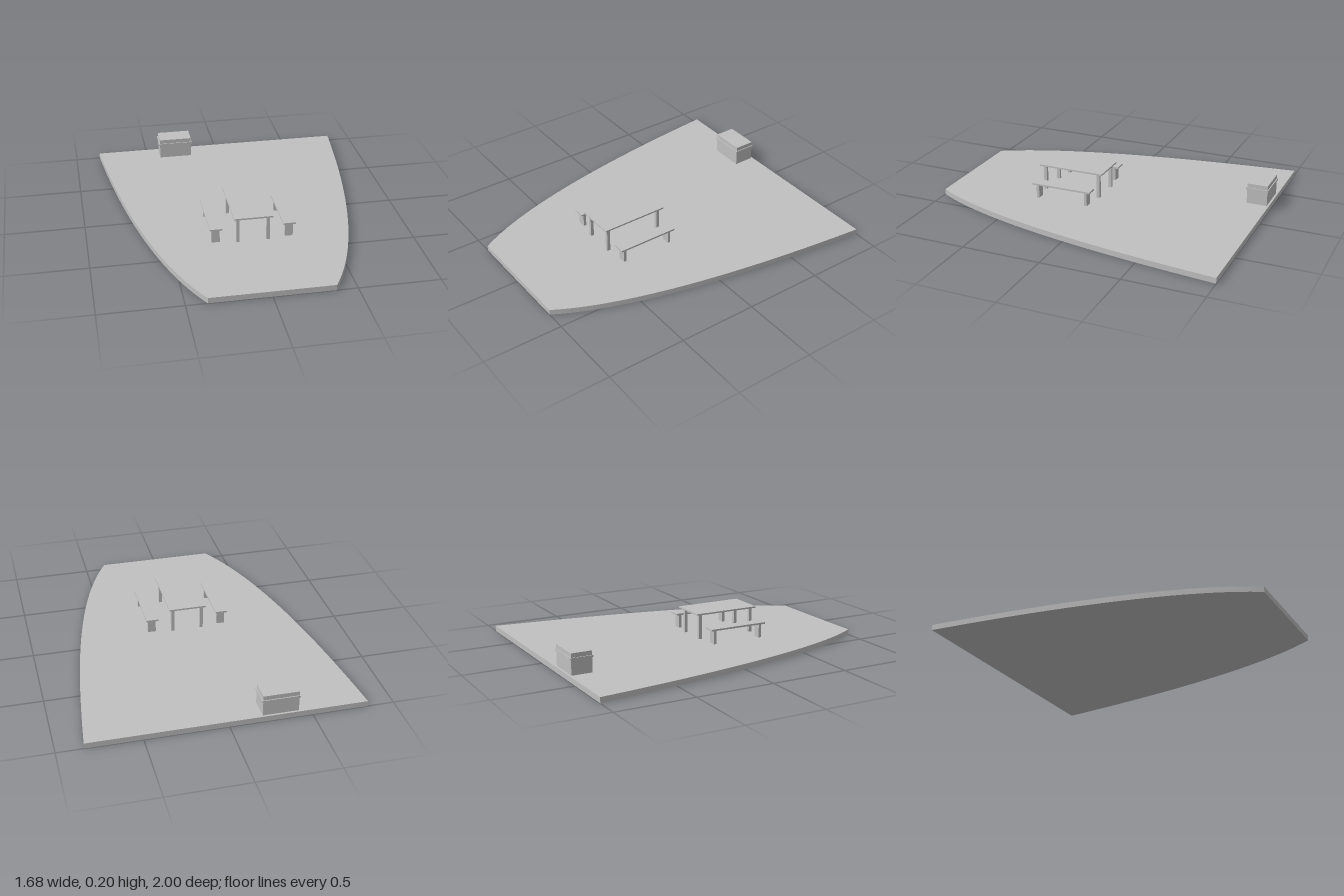
import * as THREE from 'three';

export function createModel() {
  const model = new THREE.Group();
  const grey = new THREE.MeshStandardMaterial({ color: 0xc0c0c0 });
  grey.name = 'plain grey';

  // Box given by its lower and upper corners
  const box = (parent, name, [x0, y0, z0], [x1, y1, z1]) => {
    const mesh = new THREE.Mesh(new THREE.BoxGeometry(x1 - x0, y1 - y0, z1 - z0), grey);
    mesh.position.set((x0 + x1) / 2, (y0 + y1) / 2, (z0 + z1) / 2);
    mesh.name = name;
    parent.add(mesh);
  };
  const group = (name) => {
    const g = new THREE.Group();
    g.name = name;
    model.add(g);
    return g;
  };
  const floor = 0.035;

  // Deck slab: straight ends and bowed sides (shape y is -z)
  const outline = new THREE.Shape();
  outline.moveTo(-0.838, 1);
  outline.quadraticCurveTo(-0.693, -0.466, -0.373, -1);
  outline.lineTo(0.373, -1);
  outline.quadraticCurveTo(0.693, -0.466, 0.838, 1);
  outline.closePath();
  const slab = new THREE.ExtrudeGeometry(outline, { depth: floor, bevelEnabled: false, curveSegments: 32 });
  slab.rotateX(-Math.PI / 2);
  const deck = new THREE.Mesh(slab, grey);
  deck.name = 'deck';
  model.add(deck);

  // Table with four square legs
  const table = group('table');
  box(table, 'tableTop', [-0.12, 0.195, 0.002], [0.12, 0.205, 0.436]);
  for (const x of [-0.104, 0.084])
    for (const z of [0.024, 0.396])
      box(table, 'tableLeg', [x, floor, z], [x + 0.02, 0.195, z + 0.02]);

  // Benches on both sides, each on two plank legs
  for (const side of [-1, 1]) {
    const bench = group(side > 0 ? 'leftBench' : 'rightBench');
    const cx = side * 0.228;
    box(bench, 'benchSeat', [cx - 0.038, 0.124, 0.022], [cx + 0.038, 0.135, 0.416]);
    for (const z of [0.045, 0.377])
      box(bench, 'benchLeg', [cx - 0.025, floor, z], [cx + 0.025, 0.124, z + 0.018]);
  }

  // Storage chest with a thin rim below the lid
  const chest = group('chest');
  box(chest, 'chestBody', [-0.417, floor, -0.987], [-0.199, 0.167, -0.856]);
  box(chest, 'chestRim', [-0.423, 0.127, -0.993], [-0.193, 0.14, -0.85]);

  return model;
}
